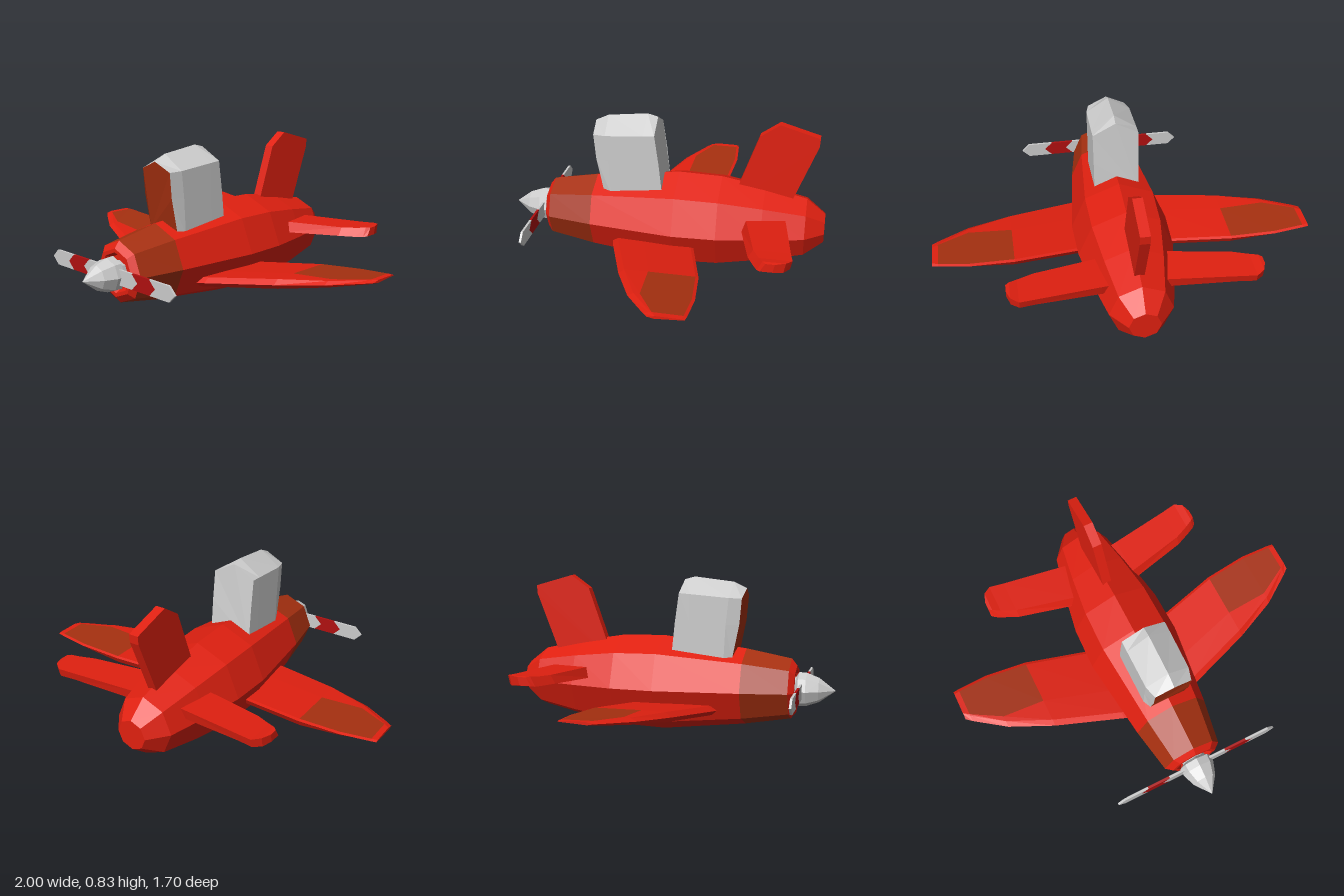
import * as THREE from 'three';

const mat = (color) => new THREE.MeshStandardMaterial({ color, flatShading: true, side: THREE.DoubleSide });
const RED = mat(0xe02010), BROWN = mat(0xa63010), DARK_RED = mat(0xb01010), GREY = mat(0xcccccc);

function addMesh(group, name, geometry, material) {
  const mesh = new THREE.Mesh(geometry, material);
  mesh.name = name;
  group.add(mesh);
  return mesh;
}

// Joins closed cross-sections into a solid with end caps.
// accent(i, j) picks side faces for the second material; i = -1 is the first cap.
function loft(name, sections, main, accentMat, accent = () => false) {
  const plain = [], marked = [];
  let volume = 0;
  const tri = (list, ...p) => {
    const [a, b, c] = p.map((q) => new THREE.Vector3(...q));
    volume += a.dot(b.clone().cross(c));
    list.push([a, b, c]);
  };
  const n = sections[0].length;
  for (let i = 0; i < sections.length - 1; i++) {
    for (let j = 0; j < n; j++) {
      const k = (j + 1) % n, s = sections[i], t = sections[i + 1];
      const list = accent(i, j) ? marked : plain;
      tri(list, s[j], t[j], t[k]);
      tri(list, s[j], t[k], s[k]);
    }
  }
  const first = sections[0], last = sections[sections.length - 1];
  for (let j = 1; j < n - 1; j++) {
    tri(accent(-1, j) ? marked : plain, first[0], first[j], first[j + 1]);
    tri(plain, last[0], last[j + 1], last[j]);
  }
  const group = new THREE.Group();
  group.name = name;
  const build = (list, label, material) => {
    if (!list.length) return;
    const pts = list.flatMap(([a, b, c]) => (volume < 0 ? [a, c, b] : [a, b, c]));
    const geometry = new THREE.BufferGeometry().setFromPoints(pts);
    geometry.computeVertexNormals();
    addMesh(group, label, geometry, material);
  };
  build(plain, name + 'Shell', main);
  build(marked, name + 'Panel', accentMat);
  return group;
}

// Octagonal fuselage with a recessed nose
function fuselage() {
  const stations = [
    [0.62, 0.09], [0.648, 0.105], [0.648, 0.125], [0.62, 0.16], [0.38, 0.203], [-0.07, 0.257],
    [-0.3, 0.25], [-0.53, 0.21], [-0.75, 0.16], [-0.85, 0.08],
  ];
  const rings = stations.map(([z, r]) => Array.from({ length: 8 }, (_, j) => {
    const a = (j * Math.PI) / 4;
    return [r * Math.sin(a), 0.26 + r * Math.cos(a), z];
  }));
  return loft('fuselage', rings, RED, BROWN, (i) => i === 3);
}

// Main wing with a coloured panel on the outer top surface
function wing(side, name) {
  const stations = [ // x, leading z, panel front z, trailing z, bottom y, top y
    [0.1, 0.28, 0.1, -0.15, 0.125, 0.175],
    [0.22, 0.25, 0.08, -0.185, 0.14, 0.19],
    [0.58, 0.13, -0.02, -0.27, 0.185, 0.235],
    [0.81, 0.03, -0.03, -0.29, 0.222, 0.255],
    [0.97, -0.08, -0.12, -0.28, 0.25, 0.269],
    [1.0, -0.105, -0.14, -0.275, 0.257, 0.27],
  ];
  const sections = stations.map(([x, lead, mid, trail, low, top]) => [
    [lead - 0.03, low], [lead, low + (top - low) * 0.5], [lead - 0.03, top],
    [mid, top + 0.002], [trail + 0.015, top], [trail, top - 0.005], [trail + 0.02, low + 0.01],
  ].map(([z, y]) => [side * x, y, z]));
  return loft(name, sections, RED, BROWN, (i, j) => (i === 2 || i === 3) && j === 3);
}

// Horizontal tail surface
function tailplane(side, name) {
  const stations = [ // x, leading z, trailing z, bottom y, top y
    [0.08, -0.41, -0.64, 0.295, 0.35],
    [0.18, -0.425, -0.655, 0.30, 0.355],
    [0.5, -0.495, -0.7, 0.325, 0.368],
    [0.58, -0.53, -0.713, 0.328, 0.373],
    [0.62, -0.55, -0.685, 0.33, 0.38],
    [0.638, -0.565, -0.635, 0.335, 0.378],
  ];
  const sections = stations.map(([x, lead, trail, low, top]) => [
    [lead, low], [lead - 0.025, top], [trail, top], [trail + 0.01, low],
  ].map(([z, y]) => [side * x, y, z]));
  return loft(name, sections, RED);
}

// Peaked canopy with a folded windscreen
function canopy() {
  const section = (w, b, m, s, a) => [ // base, middle, shoulder, apex as [z, y]
    [-w, b[1], b[0]], [-w, m[1], m[0]], [-w, s[1], s[0]], [0, a[1], a[0]],
    [w, s[1], s[0]], [w, m[1], m[0]], [w, b[1], b[0]],
  ];
  const sections = [
    section(0.1, [0.32, 0.41], [0.358, 0.6], [0.37, 0.735], [0.378, 0.78]),
    section(0.118, [0.28, 0.41], [0.29, 0.6], [0.305, 0.738], [0.31, 0.812]),
    section(0.12, [0.09, 0.41], [0.1, 0.6], [0.1, 0.753], [0.1, 0.835]),
    section(0.12, [0, 0.41], [0.02, 0.6], [0.042, 0.757], [0.045, 0.82]),
  ];
  return loft('canopy', sections, GREY, BROWN, (i) => i === -1);
}

// Flat propeller blade made of chevron-ended bands
function blade(name) {
  const group = new THREE.Group();
  group.name = name;
  const bands = [['bladeRoot', 0, 0.205, GREY], ['bladeBand', 0.205, 0.33, DARK_RED], ['bladeTip', 0.33, 0.465, GREY]];
  for (const [label, from, to, material] of bands) {
    const h = 0.04, d = 0.04;
    const shape = new THREE.Shape([
      [from - d, -h], [to - d, -h], [to, 0], [to - d, h], [from - d, h], [from, 0],
    ].map((p) => new THREE.Vector2(...p)));
    const geometry = new THREE.ExtrudeGeometry(shape, { depth: 0.012, bevelEnabled: false });
    addMesh(group, label, geometry, material).position.set(0, 0, -0.006);
  }
  return group;
}

function propeller() {
  const group = new THREE.Group();
  group.name = 'propeller';
  const profile = [[0.06, 0.61], [0.065, 0.645], [0.09, 0.66], [0.088, 0.7], [0.064, 0.765], [0, 0.85]];
  const spinner = new THREE.LatheGeometry(profile.map((p) => new THREE.Vector2(...p)), 8);
  addMesh(group, 'spinner', spinner.rotateX(Math.PI / 2), GREY);
  ['leftBlade', 'rightBlade'].forEach((name, i) => {
    const b = blade(name);
    b.position.z = 0.677;
    b.rotation.z = i * Math.PI;
    group.add(b);
  });
  group.position.y = 0.26;
  return group;
}

// Swept vertical fin
function fin() {
  const outline = [[-0.37, 0.38], [-0.395, 0.49], [-0.49, 0.76], [-0.59, 0.83], [-0.795, 0.77], [-0.792, 0.725], [-0.66, 0.38]];
  const sections = [-0.025, 0.025].map((x) => outline.map(([z, y]) => [x, y, z]));
  return loft('tailFin', sections, RED);
}

export function createModel() {
  const model = new THREE.Group();
  model.name = 'airplane';
  model.add(
    fuselage(), wing(1, 'leftWing'), wing(-1, 'rightWing'),
    tailplane(1, 'leftTailplane'), tailplane(-1, 'rightTailplane'),
    fin(), canopy(), propeller(),
  );
  return model;
}
